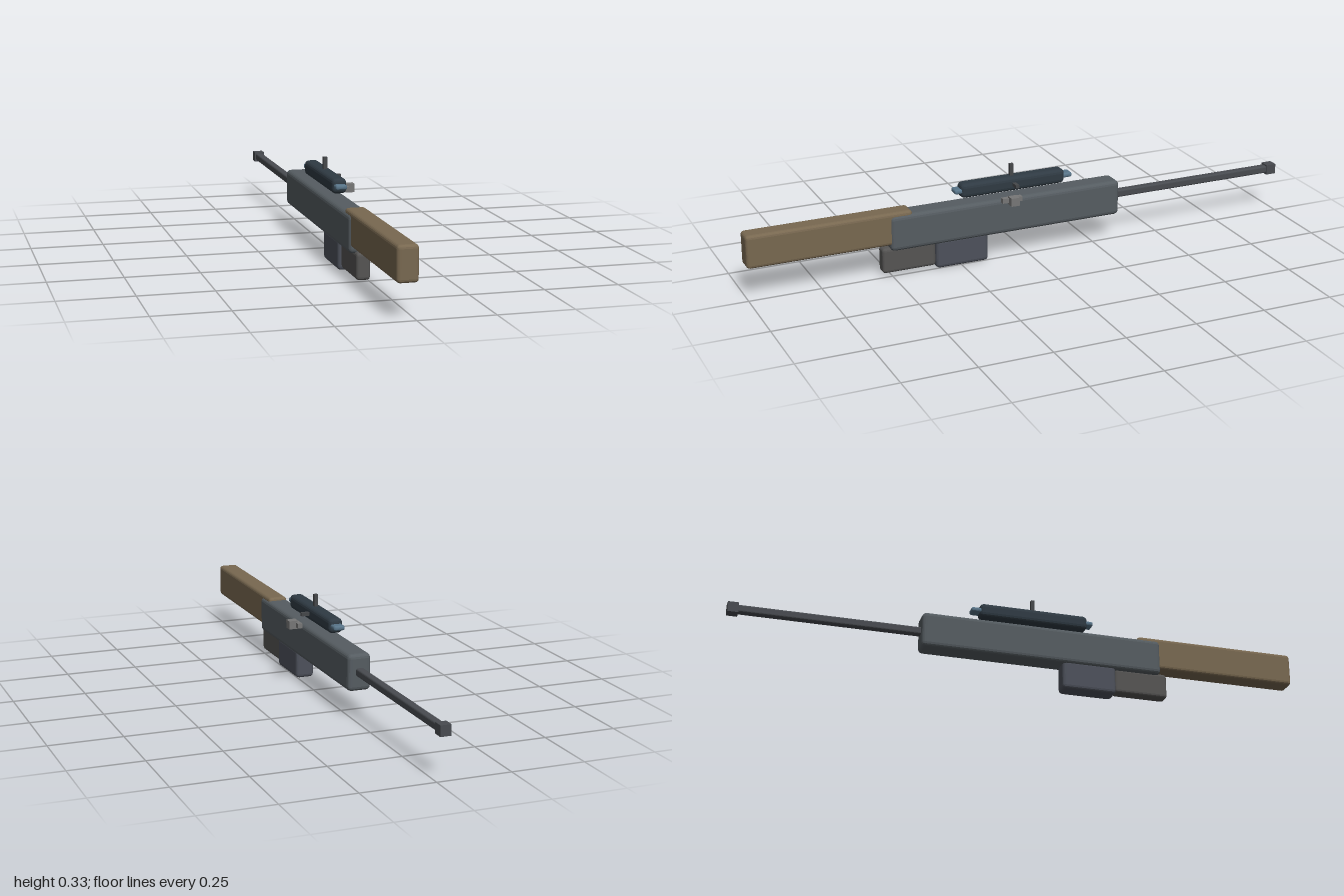
import * as THREE from 'three';
import { RoundedBoxGeometry } from 'three/addons/geometries/RoundedBoxGeometry.js';

const AXIS = -0.027; // x of the long centre line

export function createModel() {
  const model = new THREE.Group();
  model.name = 'rifle';

  const paint = (color) => new THREE.MeshStandardMaterial({ color, flatShading: true });
  const steel = paint(0x555c61);
  const wood = paint(0x786850);
  const gripGrey = paint(0x555453);
  const magazineGrey = paint(0x4d515b);
  const barrelGrey = paint(0x484b50);
  const scopeBlue = paint(0x2f3a43);
  const glass = paint(0x587488);
  const knobGrey = paint(0x45474a);
  const boltGrey = paint(0x777777);

  // Box given by its low and high limits; a bevel above 0 rounds its edges.
  function box(name, material, [x0, x1], [y0, y1], [z0, z1], bevel = 0) {
    const size = [x1 - x0, y1 - y0, z1 - z0];
    const geometry = bevel > 0
      ? new RoundedBoxGeometry(...size, 2, bevel)
      : new THREE.BoxGeometry(...size);
    const mesh = new THREE.Mesh(geometry, material);
    mesh.name = name;
    mesh.position.set((x0 + x1) / 2, (y0 + y1) / 2, (z0 + z1) / 2);
    model.add(mesh);
    return mesh;
  }
  const centred = (width) => [AXIS - width / 2, AXIS + width / 2];

  // Body and stock
  box('receiver', steel, centred(0.081), [0.092, 0.218], [-0.347, 0.505], 0.015);
  box('stock', wood, centred(0.069), [0.113, 0.229], [0.424, 1.0], 0.012);
  box('grip', gripGrey, centred(0.046), [0.01, 0.1], [0.34, 0.531], 0.011);
  box('magazine', magazineGrey, centred(0.066), [0.0, 0.105], [0.15, 0.341], 0.013);

  // Barrel and muzzle
  box('barrel', barrelGrey, centred(0.027), [0.1445, 0.1715], [-0.98, -0.33], 0.006);
  box('muzzle', barrelGrey, centred(0.036), [0.14, 0.176], [-1.0, -0.963]);

  // Scope with a lens at each end
  box('scopeTube', scopeBlue, centred(0.05), [0.236, 0.287], [-0.142, 0.244], 0.015);
  box('rearLens', glass, centred(0.04), [0.253, 0.27], [0.22, 0.266], 0.007);
  box('frontLens', glass, centred(0.04), [0.253, 0.27], [-0.172, -0.12], 0.007);

  // Adjustment knobs
  box('topKnob', knobGrey, centred(0.013), [0.28, 0.329], [0.044, 0.057]);
  box('sideKnob', knobGrey, [-0.01, 0.027], [0.256, 0.268], [0.044, 0.057]);

  // Bolt handle and its knob
  box('boltHandle', boltGrey, [0.026, 0.043], [0.215, 0.232], [0.04, 0.112]);
  box('boltKnob', boltGrey, [0.037, 0.067], [0.209, 0.238], [0.06, 0.09]);

  return model;
}
